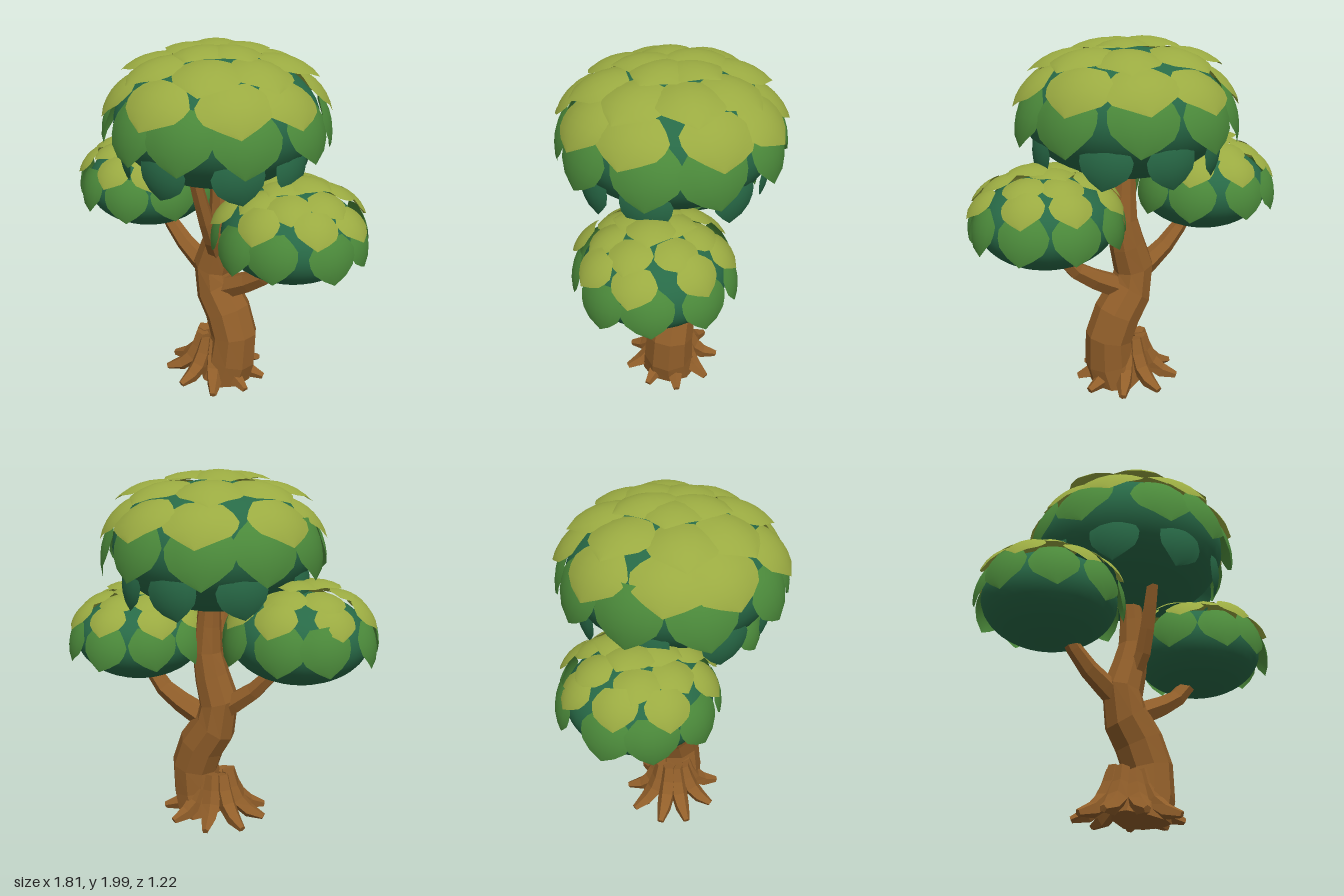
import * as THREE from 'three';

const V = (x, y, z) => new THREE.Vector3(x, y, z);
const mat = (name, color, side = THREE.FrontSide) => {
  const m = new THREE.MeshStandardMaterial({ color, side });
  m.name = name;
  return m;
};

// Small seeded random, -1..1
let seed = 7;
const rnd = () => {
  seed = (seed * 16807) % 2147483647;
  return (seed / 2147483647) * 2 - 1;
};

// Faceted, capped, tapering limb along a smooth path; radii are spread evenly over its length
function limb(points, radii, sides, segs) {
  const curve = new THREE.CatmullRomCurve3(points.map(p => V(...p)));
  const frames = curve.computeFrenetFrames(segs);
  const pos = [], idx = [];
  for (let i = -1; i <= segs + 1; i++) {
    const k = Math.min(Math.max(i, 0), segs), t = k / segs;
    const f = t * (radii.length - 1), a = Math.min(Math.floor(f), radii.length - 2);
    const r = i === k ? THREE.MathUtils.lerp(radii[a], radii[a + 1], f - a) : 0;
    const c = curve.getPointAt(t);
    for (let j = 0; j < sides; j++) {
      const an = (j / sides) * Math.PI * 2;
      const p = c.clone()
        .addScaledVector(frames.normals[k], Math.cos(an) * r)
        .addScaledVector(frames.binormals[k], Math.sin(an) * r);
      pos.push(p.x, Math.max(p.y, 0), p.z);
    }
  }
  for (let i = 0; i < segs + 2; i++) {
    for (let j = 0; j < sides; j++) {
      const a = i * sides + j, b = i * sides + (j + 1) % sides;
      idx.push(a, b, a + sides, b, b + sides, a + sides);
    }
  }
  const g = new THREE.BufferGeometry();
  g.setAttribute('position', new THREE.Float32BufferAttribute(pos, 3));
  g.setIndex(idx);
  const flat = g.toNonIndexed();
  flat.computeVertexNormals();
  return flat;
}

// Domed, pointed leaf of unit size: tip towards +y, outside towards +z
function leafGeometry() {
  const half = [0.5, 0.8, 1, 0.98, 0.86, 0.5, 0];
  const g = new THREE.PlaneGeometry(1, 1, 6, 6);
  const p = g.attributes.position;
  for (let i = 0; i < p.count; i++) {
    const v = p.getY(i) + 0.5;
    const u = p.getX(i) * half[Math.round(v * 6)];
    p.setXYZ(i, u, v - 0.5, 0.06 - 0.55 * u * u - 0.45 * (v - 0.5) ** 2);
  }
  g.computeVertexNormals();
  return g;
}

export function createModel() {
  seed = 7;
  const tree = new THREE.Group();
  tree.name = 'tree';
  const bark = mat('bark brown', 0x925f2a);
  const dark = mat('deep green', 0x286a47);
  const darkLeaf = mat('deep green leaf', 0x286a47, THREE.DoubleSide);
  const green = mat('leaf green', 0x4c8b3b, THREE.DoubleSide);
  const olive = mat('olive green', 0x9aaa41, THREE.DoubleSide);

  const add = (parent, name, geo, m) => {
    const mesh = new THREE.Mesh(geo, m);
    mesh.name = name;
    parent.add(mesh);
    return mesh;
  };

  // Trunk and branches
  add(tree, 'trunk', limb(
    [[0.08, 0, 0], [0.12, 0.13, 0], [0.135, 0.28, -0.01], [0.07, 0.46, -0.02], [-0.03, 0.62, -0.02],
      [-0.01, 0.76, -0.02], [0.045, 0.95, -0.02], [0.03, 1.3, -0.02]],
    [0.165, 0.145, 0.137, 0.137, 0.122, 0.108, 0.092, 0.074, 0.06], 9, 9), bark);
  add(tree, 'leftBranch', limb(
    [[0.0, 0.55, -0.01], [0.14, 0.625, -0.01], [0.3, 0.71, -0.01], [0.4, 0.81, 0], [0.46, 0.95, 0]],
    [0.075, 0.064, 0.05, 0.04], 6, 5), bark);
  add(tree, 'rightBranch', limb(
    [[-0.02, 0.64, -0.02], [-0.13, 0.72, -0.02], [-0.27, 0.83, -0.02], [-0.4, 1.0, -0.02]],
    [0.068, 0.06, 0.047, 0.038], 6, 4), bark);
  add(tree, 'frontBranch', limb(
    [[0.03, 0.8, 0.02], [0.045, 0.9, 0.08], [0.04, 1.08, 0.15], [0.03, 1.3, 0.22]],
    [0.05, 0.048, 0.042, 0.035], 6, 4), bark);

  // Flared roots
  const roots = new THREE.Group();
  roots.name = 'roots';
  tree.add(roots);
  for (let i = 0; i < 9; i++) {
    const a = Math.PI + (i / 9) * Math.PI * 2 + rnd() * 0.06;
    const c = Math.cos(a), s = Math.sin(a);
    const at = (r, y) => [0.01 + c * r * 1.12, y, s * r];
    const top = 0.26 + rnd() * 0.02, reach = 0.275 + rnd() * 0.01;
    add(roots, 'root', limb(
      [at(0.075, top), at(0.1, 0.15), at(0.16, 0.06), at(reach, 0.015)],
      [0.04, 0.056, 0.052, 0.02], 5, 4), bark);
  }

  // Canopy: smooth core covered with rings of leaves
  // ring = [count, radius, height, downward pitch, width, length, material]
  const leaf = leafGeometry();
  function canopy(name, x, y, z, radius, height, rings) {
    const group = new THREE.Group();
    group.name = name;
    group.position.set(x, y, z);
    tree.add(group);
    const core = add(group, 'foliageCore', new THREE.SphereGeometry(1, 32, 20), dark);
    core.scale.set(radius, height, radius);
    rings.forEach(([count, r, h, pitch, w, len, m], k) => {
      for (let i = 0; i < count; i++) {
        const a = ((i + (k % 2) / 2) / count) * Math.PI * 2 + Math.PI / 2 + rnd() * 0.09;
        const out = V(Math.cos(a), 0, Math.sin(a));
        const p = pitch + rnd() * 0.06;
        const down = out.clone().multiplyScalar(Math.cos(p)).setY(-Math.sin(p));
        const normal = out.clone().multiplyScalar(Math.sin(p)).setY(Math.cos(p));
        const side = down.clone().cross(normal);
        const mesh = add(group, 'leaf', leaf, m);
        mesh.quaternion.setFromRotationMatrix(new THREE.Matrix4().makeBasis(side, down, normal));
        mesh.rotateZ(rnd() * 0.18);
        mesh.position.copy(out).multiplyScalar(r + rnd() * 0.008).setY(h + rnd() * 0.008);
        mesh.scale.set(w, len, (w + len) / 2);
      }
    });
  }

  canopy('mainCanopy', 0.015, 1.59, 0, 0.55, 0.35, [
    [5, 0.14, 0.375, 0.06, 0.33, 0.34, olive],
    [8, 0.385, 0.305, 0.36, 0.34, 0.32, olive],
    [9, 0.525, 0.165, 0.82, 0.37, 0.29, olive],
    [10, 0.58, 0.01, 1.33, 0.35, 0.32, green],
    [8, 0.51, -0.2, 1.66, 0.27, 0.26, darkLeaf],
  ]);

  const sideRings = [
    [4, 0.1, 0.295, 0.12, 0.24, 0.24, olive],
    [7, 0.25, 0.235, 0.45, 0.22, 0.2, olive],
    [8, 0.36, 0.155, 0.85, 0.22, 0.2, olive],
    [9, 0.4, 0.01, 1.4, 0.26, 0.25, green],
  ];
  canopy('leftCanopy', 0.49, 1.04, 0, 0.37, 0.24, sideRings);
  canopy('rightCanopy', -0.485, 1.13, -0.02, 0.37, 0.24, sideRings);

  return tree;
}
